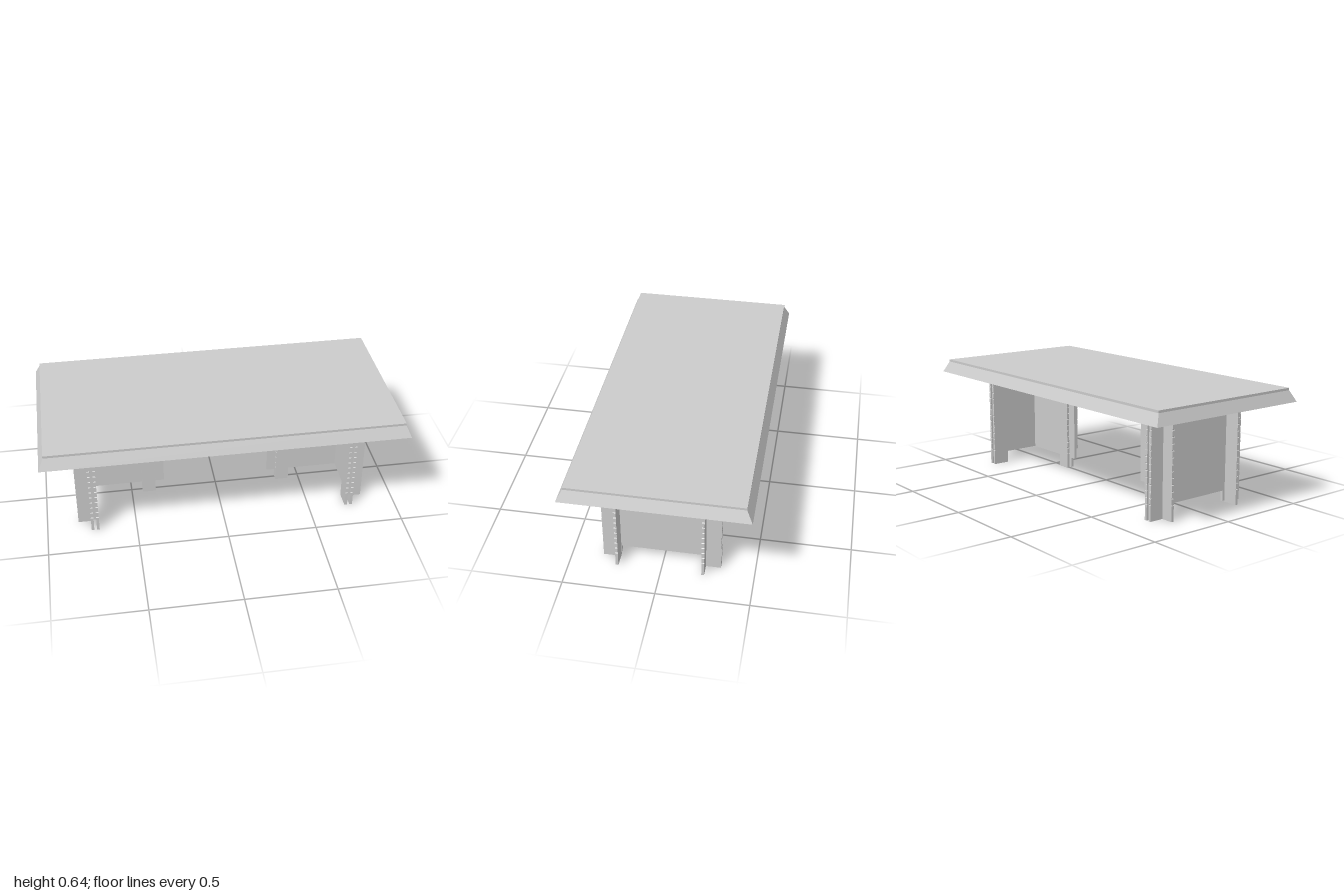
import * as THREE from 'three';

const material = new THREE.MeshStandardMaterial({ color: 0xcccccc, flatShading: true });
const TOP_Y = 0.565;      // underside of the table top
const PANEL_Y = 0.065;    // underside of the panels
const T = 0.015;          // board thickness
const MID_Z = 0.0075;     // centre line of the base

function add(parent, name, geometry) {
  const mesh = new THREE.Mesh(geometry, material);
  mesh.name = name;
  parent.add(mesh);
  return mesh;
}

// Box given by its limits on each axis
function addBox(parent, name, [x0, x1], [y0, y1], [z0, z1]) {
  const mesh = add(parent, name, new THREE.BoxGeometry(x1 - x0, y1 - y0, z1 - z0));
  mesh.position.set((x0 + x1) / 2, (y0 + y1) / 2, (z0 + z1) / 2);
  return mesh;
}

// Upright board, width along +x, with a row of small notches in its outer edge
function notchedBoard(width) {
  const shape = new THREE.Shape();
  shape.moveTo(0, 0);
  shape.lineTo(width, 0);
  for (let i = 0; i < 13; i++) {
    const y = 0.085 + i * 0.036;
    shape.lineTo(width, y);
    shape.lineTo(width - 0.004, y + 0.003);
    shape.lineTo(width, y + 0.006);
  }
  shape.lineTo(width, TOP_Y);
  shape.lineTo(0, TOP_Y);
  return new THREE.ExtrudeGeometry(shape, { depth: T, bevelEnabled: false });
}

// Table top: bevelled sides ending in a thin upright lip
function makeTop() {
  const geometry = new THREE.BoxGeometry(2, 2, 2, 1, 2, 1);
  const rings = [[TOP_Y, 1, 0.493], [0.627, 0.972, 0.461], [0.64, 0.972, 0.461]];
  const p = geometry.attributes.position;
  for (let i = 0; i < p.count; i++) {
    const [y, hx, hz] = rings[Math.round(p.getY(i)) + 1];
    p.setXYZ(i, p.getX(i) * hx, y, p.getZ(i) * hz);
  }
  const flat = geometry.toNonIndexed();
  flat.computeVertexNormals();
  return flat;
}

// Corner leg: an angle on the outer face of the panel and a strip on the inner face
function addCornerLeg(parent, side, end) {
  const leg = new THREE.Group();
  leg.name = 'cornerLeg';
  const inner = MID_Z + end * 0.226;           // edge nearest the middle
  const turn = end > 0 ? -Math.PI / 2 : Math.PI / 2;
  const spread = (name, x0) => {               // board running outward along z
    const board = add(leg, name, notchedBoard(0.096));
    board.rotation.y = turn;
    board.position.set(end > 0 ? x0 + T : x0, 0, inner);
  };
  const outerX = side > 0 ? 0.74 : -0.74 - T;
  const innerX = side > 0 ? 0.71 : -0.71 - T;
  spread('legOuterStrip', outerX);
  spread('legInnerStrip', innerX);

  // Flange standing out from the panel
  const flange = add(leg, 'legFlange', notchedBoard(0.07));
  flange.rotation.y = side > 0 ? 0 : Math.PI;
  const z0 = end > 0 ? inner : inner - T;
  flange.position.set(side * 0.755, 0, side > 0 ? z0 : z0 + T);
  parent.add(leg);
}

// T-shaped pedestal on one side of the table
function makePedestal(side) {
  const group = new THREE.Group();
  group.name = side > 0 ? 'leftPedestal' : 'rightPedestal';
  const span = (a, b) => (side > 0 ? [a, b] : [-b, -a]);
  addBox(group, 'crossPanel', span(0.725, 0.74), [PANEL_Y, TOP_Y], [MID_Z - 0.31, MID_Z + 0.31]);
  addBox(group, 'inwardPanel', span(0.308, 0.725), [PANEL_Y, TOP_Y], [0, T]);
  for (const end of [1, -1]) addCornerLeg(group, side, end);

  // Pair of strips clasping the inward panel
  for (const z of [T, -T]) {
    const foot = add(group, 'innerFootStrip', notchedBoard(0.077));
    foot.rotation.y = side > 0 ? Math.PI : 0;
    foot.position.set(side * 0.437, 0, side > 0 ? z + T : z);
  }
  return group;
}

export function createModel() {
  const model = new THREE.Group();
  model.name = 'table';
  add(model, 'tableTop', makeTop());
  for (const side of [1, -1]) model.add(makePedestal(side));
  return model;
}
